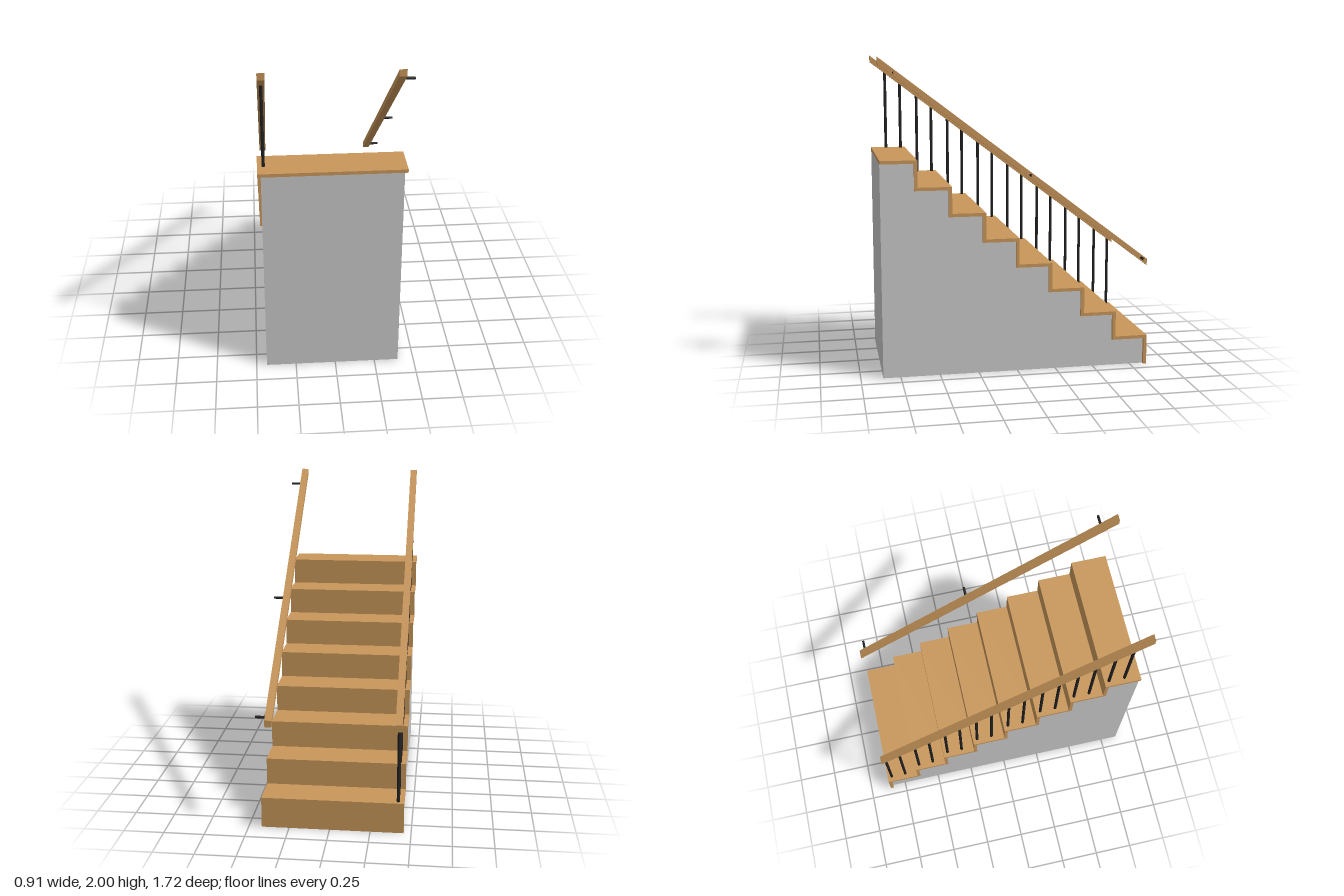
import * as THREE from 'three';

const STEPS = 8, GOING = 0.2129, RISE = 0.1687, TOP = 1.375, HALF = 0.86, T = 0.021;
const FIRST_NOSE = 0.63;
const X0 = -0.455, X1 = 0.42, INSET = 0.02;
const treadTop = k => TOP - RISE * k;
const nose = k => FIRST_NOSE - GOING * k;

// rail height at a given z (centre line of the rail)
const RAIL_H = 0.043;
const railY = z => 2 - RAIL_H / 2 - 0.757 * (HALF - z);

// prism from a side profile of [z, y] points, spanning x0..x1
function prism(points, x0, x1) {
  const shape = new THREE.Shape(points.map(([z, y]) => new THREE.Vector2(-z, y)));
  const g = new THREE.ExtrudeGeometry(shape, { depth: x1 - x0, bevelEnabled: false });
  return g.rotateY(Math.PI / 2).translate(x0, 0, 0);
}

export function createModel() {
  const root = new THREE.Group();
  root.name = 'staircase';
  const mat = (name, color) => {
    const m = new THREE.MeshStandardMaterial({ color });
    m.name = name;
    return m;
  };
  const wood = mat('wood', 0xc8965a);
  const plaster = mat('plaster', 0xc8c8c8);
  const iron = mat('iron', 0x222222);

  const add = (geometry, material, name) => {
    const m = new THREE.Mesh(geometry, material);
    m.name = name;
    root.add(m);
    return m;
  };
  const box = (x0, x1, y0, y1, z0, z1, material, name) =>
    add(new THREE.BoxGeometry(x1 - x0, y1 - y0, z1 - z0)
      .translate((x0 + x1) / 2, (y0 + y1) / 2, (z0 + z1) / 2), material, name);

  // solid stepped base
  const profile = [[HALF, 0], [HALF, TOP - T]];
  for (let k = 0; k < STEPS; k++) {
    profile.push([nose(k) + T, treadTop(k) - T]);
    profile.push([nose(k) + T, k < STEPS - 1 ? treadTop(k + 1) - T : 0]);
  }
  add(prism(profile, X0 + INSET, X1 - INSET), plaster, 'base');

  // treads, risers and two balusters per step
  const railX = -0.418;
  for (let k = 0; k < STEPS; k++) {
    const y = treadTop(k);
    const back = k === 0 ? HALF : nose(k - 1) + T;
    box(X0, X1, y - T, y, nose(k), back, wood, 'tread');
    box(X0, X1, k < STEPS - 1 ? treadTop(k + 1) : 0, y - T, nose(k), nose(k) + T, wood, 'riser');
    for (const dz of [0.13, 0.03]) {
      const z = nose(k) + dz;
      const h = railY(z) - y;
      add(new THREE.CylinderGeometry(0.0095, 0.0095, h, 12)
        .translate(railX, y + h / 2, z), iron, 'baluster');
    }
  }

  // sloping handrails with plumb-cut ends
  for (const [x, name] of [[railX, 'balusterRail'], [0.368, 'wallRail']]) {
    const a = railY(HALF), b = railY(-HALF), h = RAIL_H / 2;
    add(prism([[HALF, a - h], [HALF, a + h], [-HALF, b + h], [-HALF, b - h]],
      x - 0.022, x + 0.022), wood, name);
  }

  // wall brackets, open tubes
  for (const z of [0.763, -0.083, -0.822]) {
    add(new THREE.CylinderGeometry(0.008, 0.008, 0.07, 12, 1, true)
      .rotateZ(Math.PI / 2).translate(0.417, railY(z), z), iron, 'railBracket');
  }
  return root;
}
